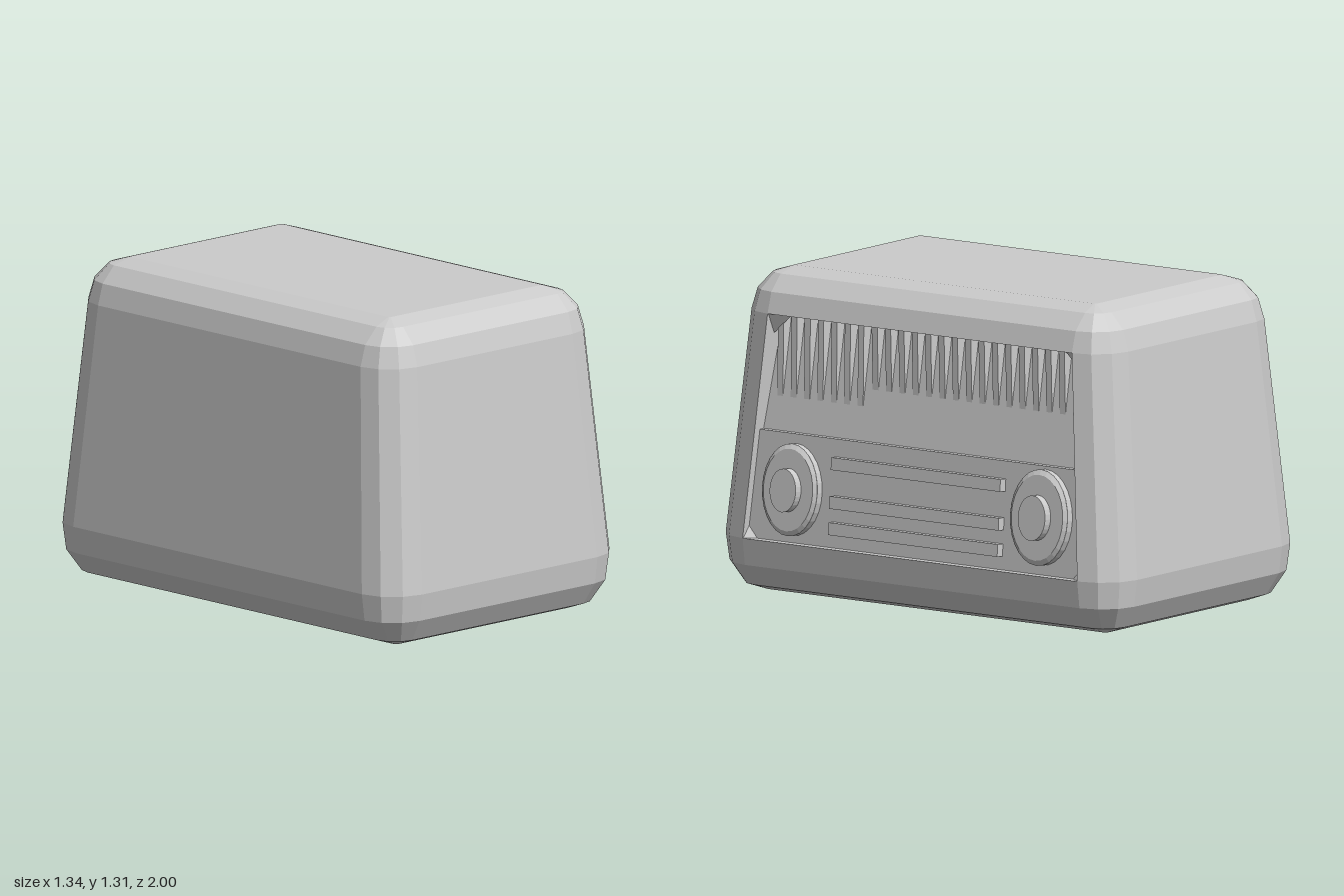
import * as THREE from 'three';

const CX = -0.022; // body centre in x
const Y0 = 0.23, Y1 = 1.135, LEDGE = 0.665; // opening bottom, top, and panel top
const LEAN = 0.072;

const material = () => new THREE.MeshStandardMaterial({ color: 0xcccccc, flatShading: true, side: THREE.DoubleSide });

function addMesh(parent, geometry, name) {
  const mesh = new THREE.Mesh(geometry, material());
  mesh.name = name;
  parent.add(mesh);
  return mesh;
}

function fromTriangles(points) {
  const g = new THREE.BufferGeometry().setFromPoints(points);
  g.computeVertexNormals();
  return g;
}

const quad = (a, b, c, d) => [a, b, c, a, c, d];

// Helpers on the sloping dial face
const faceX = (y) => 0.63 - LEAN * (y - Y0);
const edgeZ = (y) => 0.83 - 0.075 * (y - Y0) / (Y1 - Y0);
const onFace = (y, z, depth) => new THREE.Vector3(faceX(y) - depth, y, z);
const grilleDepth = (y) => 0.06 + 0.05 * (y - LEDGE) / (Y1 - LEDGE);

// Tapered, bevelled shell: rounded-rectangle rings [y, half x, half z, corner radius]
function shellGeometry() {
  const levels = [
    [0, 0.478, 0.845, 0.015], [0.03, 0.57, 0.93, 0.1], [0.12, 0.637, 0.985, 0.155], [Y0, 0.652, 1, 0.17],
    [Y1, 0.587, 0.915, 0.16], [1.22, 0.562, 0.89, 0.135], [1.285, 0.5, 0.83, 0.075], [1.31, 0.42, 0.75, 0.01],
  ];
  const signs = [[1, 1], [-1, 1], [-1, -1], [1, -1]];
  const rings = levels.map(([y, hx, hz, r]) => signs.flatMap(([sx, sz], c) =>
    [0, 1, 2, 3].map((k) => {
      const a = (c + k / 3) * Math.PI / 2;
      return new THREE.Vector3(CX + sx * (hx - r) + r * Math.cos(a), y, sz * (hz - r) + r * Math.sin(a));
    })));
  const tris = [];
  const n = 16, top = rings.length - 1;
  const floor = new THREE.Vector3(CX, 0, 0), roof = new THREE.Vector3(CX, 1.31, 0);
  for (let i = 0; i < n; i++) {
    const j = (i + 1) % n;
    for (let l = 0; l < top; l++) {
      if (l === 3 && i === n - 1) continue; // opening for the dial face
      tris.push(...quad(rings[l][i], rings[l + 1][i], rings[l + 1][j], rings[l][j]));
    }
    tris.push(floor, rings[0][i], rings[0][j], roof, rings[top][j], rings[top][i]);
  }
  return fromTriangles(tris);
}

// Inner walls of the opening
function recessGeometry() {
  const D = 0.12;
  const corners = [[Y0, edgeZ(Y0)], [Y0, -edgeZ(Y0)], [Y1, -edgeZ(Y1)], [Y1, edgeZ(Y1)]];
  const tris = [];
  corners.forEach(([y, z], i) => {
    const [y2, z2] = corners[(i + 1) % 4];
    tris.push(...quad(onFace(y, z, 0), onFace(y2, z2, 0), onFace(y2, z2, D), onFace(y, z, D)));
  });
  return fromTriangles(tris);
}

// Flat panel between two heights, filling the opening's width
function panelGeometry(yA, yB, dA, dB) {
  const zA = edgeZ(yA), zB = edgeZ(yB);
  return quad(onFace(yA, zA, dA), onFace(yA, -zA, dA), onFace(yB, -zB, dB), onFace(yB, zB, dB));
}

// Sloping gusset in one corner of the opening
function gussetGeometry(y, sz) {
  const up = y === Y1 ? -1 : 1, s = 0.085;
  const z = sz * edgeZ(y), y2 = y + up * s;
  const a = onFace(y, z, 0.005), b = onFace(y2, sz * edgeZ(y2), 0.06), c = onFace(y, z - sz * s, 0.06);
  return fromTriangles(up * sz > 0 ? [a, c, b] : [a, b, c]);
}

// Wedge slat whose thickness fades to nothing at its foot
function slatGeometry(foot) {
  const width = 0.028;
  const shape = new THREE.Shape([
    new THREE.Vector2(faceX(foot) - grilleDepth(foot), foot),
    new THREE.Vector2(faceX(Y1) - 0.11, Y1),
    new THREE.Vector2(faceX(Y1) - 0.055, Y1),
  ]);
  return new THREE.ExtrudeGeometry(shape, { depth: width, bevelEnabled: false }).translate(0, 0, -width / 2);
}

// Oval disc pointing along +x
function ovalDisc(rBack, rFront, depth) {
  return new THREE.CylinderGeometry(rFront, rBack, depth, 28).rotateZ(-Math.PI / 2).scale(1, 1.35, 1);
}

function dial(y, z, size) {
  const group = new THREE.Group();
  group.name = 'dial';
  addMesh(group, ovalDisc(0.14, 0.14, 0.035), 'dialDisc').position.x = -0.012;
  addMesh(group, ovalDisc(0.14, 0.125, 0.012), 'dialRim').position.x = 0.011;
  addMesh(group, ovalDisc(0.066, 0.066, 0.045), 'dialKnob').position.x = 0.031;
  group.position.set(faceX(y) - 0.008, y, z);
  group.rotation.z = 0.09;
  group.scale.setScalar(size);
  return group;
}

export function createModel() {
  const model = new THREE.Group();
  model.name = 'tabletopRadio';
  addMesh(model, shellGeometry(), 'shell');
  addMesh(model, recessGeometry(), 'recessWalls');
  for (const y of [Y0, Y1]) for (const s of [1, -1]) addMesh(model, gussetGeometry(y, s), 'cornerGusset');

  // Control panel with its top ledge, and the sloping grille board above
  addMesh(model, fromTriangles([
    ...panelGeometry(Y0, LEDGE, 0.035, 0.035), ...panelGeometry(LEDGE, LEDGE, 0.035, 0.06),
  ]), 'controlPanel');
  addMesh(model, fromTriangles(panelGeometry(LEDGE, Y1, 0.06, 0.11)), 'grilleBoard');

  // Vertical grille slats
  const grille = new THREE.Group();
  grille.name = 'grilleSlats';
  for (let i = 0; i < 23; i++) {
    const z = 0.73 - i * 0.0663;
    addMesh(grille, slatGeometry(z > 0.3 ? 0.8 : 0.87), 'slat').position.z = z;
  }
  model.add(grille);

  // Horizontal trim bars
  for (const y of [0.31, 0.415, 0.57]) {
    const bar = addMesh(model, new THREE.BoxGeometry(0.045, 0.05, 0.84), 'trimBar');
    bar.position.set(faceX(y) - 0.022, y, -0.01);
    bar.rotation.z = LEAN;
  }

  // Tuning and volume dials
  model.add(dial(0.445, 0.61, 0.98), dial(0.463, -0.625, 1.02));
  return model;
}
